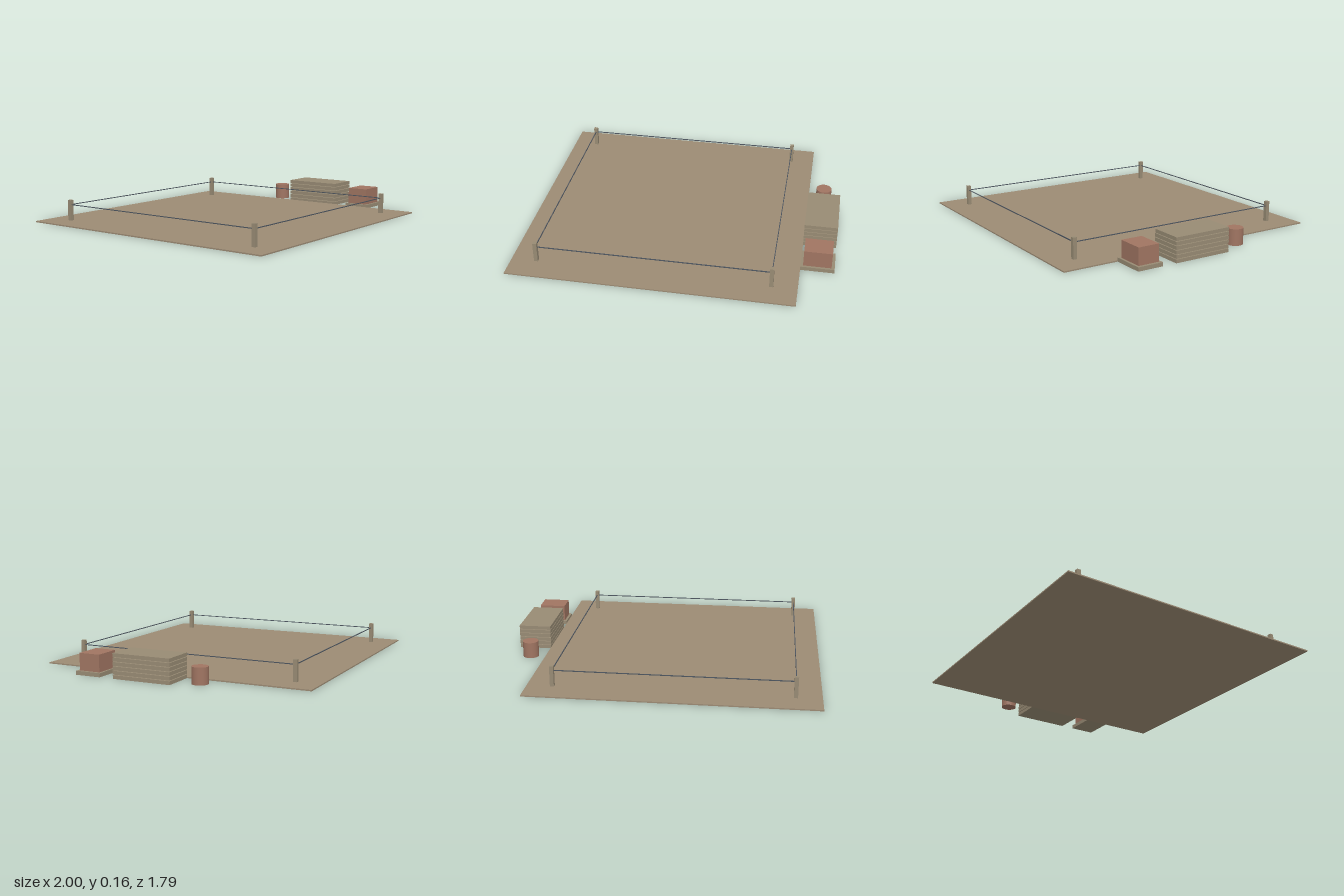
import * as THREE from 'three';

const material = (name, color) => {
  const m = new THREE.MeshStandardMaterial({ color });
  m.name = name;
  return m;
};

export function createModel() {
  const root = new THREE.Group();
  root.name = 'marked out building plot';
  const earth = material('earth', 0x9c8b74);
  const wood = material('weathered wood', 0x988b74);
  const clay = material('clay red', 0xa07562);
  const cord = material('slate cord', 0x4c545e);

  // Box given by its size and the centre of its base
  const box = (name, mat, w, h, d, x, y, z) => {
    const mesh = new THREE.Mesh(new THREE.BoxGeometry(w, h, d), mat);
    mesh.name = name;
    mesh.position.set(x, y + h / 2, z);
    root.add(mesh);
    return mesh;
  };

  // Flat ground of the plot
  const cx = -0.105, half = 0.736;
  box('ground', earth, 1.79, 0.008, 1.79, cx, 0, 0);

  // Corner posts joined by a line on every side
  for (const s of [-1, 1]) {
    for (const t of [-1, 1]) {
      box('cornerPost', wood, 0.025, 0.134, 0.025, cx + s * half, 0.007, t * half);
    }
    box('crossLine', cord, 2 * half, 0.005, 0.005, cx, 0.108, s * half);
    box('sideLine', cord, 0.005, 0.005, 2 * half, cx + s * half, 0.108, 0);
  }

  // Stacked planks with narrow gaps
  for (let i = 0; i < 6; i++) {
    box('stackedPlank', wood, 0.21, 0.0225, 0.385, 0.895, i * 0.0265, 0.085);
  }

  // Crate on its pallet
  box('pallet', wood, 0.21, 0.025, 0.17, 0.895, 0, 0.455);
  box('crate', clay, 0.175, 0.108, 0.14, 0.893, 0.025, 0.455);

  // Barrel
  const barrel = new THREE.Mesh(new THREE.CylinderGeometry(0.051, 0.051, 0.105, 20), clay);
  barrel.name = 'barrel';
  barrel.position.set(0.89, 0.0525, -0.248);
  root.add(barrel);

  return root;
}
